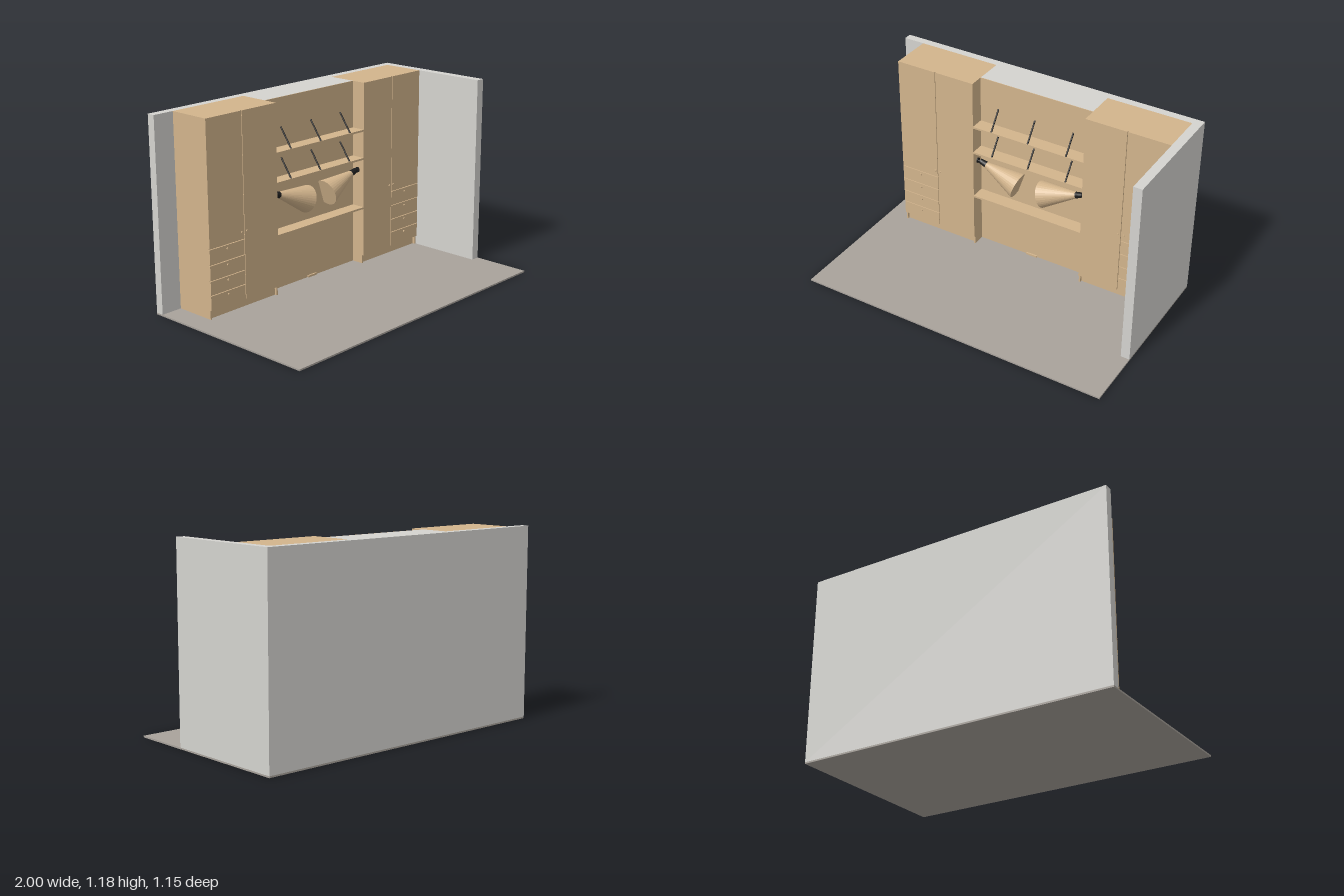
import * as THREE from 'three';

const mat = (name, color) => {
  const m = new THREE.MeshStandardMaterial({ color });
  m.name = name;
  return m;
};

export function createModel() {
  const wood = mat('wood', 0xd2b48c);
  const wall = mat('wall plaster', 0xd4d3cf);
  const floorGrey = mat('floor grey', 0xa8a29b);
  const black = mat('black metal', 0x1c1c1c);
  const root = new THREE.Group();
  root.name = 'wallUnit';

  const add = (name, geometry, material, parent = root) => {
    const mesh = new THREE.Mesh(geometry, material);
    mesh.name = name;
    parent.add(mesh);
    return mesh;
  };
  // Box given by its limits on each axis
  const box = (name, x0, x1, y0, y1, z0, z1, material, parent) => {
    const mesh = add(name, new THREE.BoxGeometry(x1 - x0, y1 - y0, z1 - z0), material, parent);
    mesh.position.set((x0 + x1) / 2, (y0 + y1) / 2, (z0 + z1) / 2);
    return mesh;
  };
  // Straight cylinder between two points; r0 at the start, r1 at the end
  const rod = (name, a, b, r0, r1, sides, material, parent) => {
    const dir = b.clone().sub(a);
    let geometry = new THREE.CylinderGeometry(r1, r0, dir.length(), sides);
    geometry = geometry.toNonIndexed();
    geometry.computeVertexNormals();
    const mesh = add(name, geometry, material, parent);
    mesh.position.copy(a).add(b).multiplyScalar(0.5);
    mesh.quaternion.setFromUnitVectors(new THREE.Vector3(0, 1, 0), dir.normalize());
    return mesh;
  };
  const v = (x, y, z) => new THREE.Vector3(x, y, z);

  const FLOOR = 0.01, TOP = 1.18, BACK = -0.525, FRONT = -0.255;
  const NICHE = -0.345, NL = -0.335, NR = 0.415, MID = 0.04;

  // Room shell
  box('floor', -1, 1, 0, FLOOR, -0.575, 0.575, floorGrey);
  box('backWall', -1, 1, FLOOR, TOP, -0.575, BACK, wall);
  box('sideWall', 0.945, 1, FLOOR, TOP, BACK, 0.21, wall);
  box('nicheWall', NL, NR, FLOOR, TOP, BACK, NICHE - 0.004, wall);
  box('nichePanel', NL, NR, FLOOR, TOP, NICHE - 0.004, NICHE, wood);
  box('floorSocket', 0, 0.075, FLOOR, 0.022, NICHE, NICHE + 0.01, wood);

  // Shelves across the niche
  for (const y of [0.38, 0.7, 0.88]) {
    box('shelf', NL, NR, y - 0.006, y + 0.006, NICHE, FRONT, wood);
  }
  // Slanted rods holding the two upper shelves
  for (const x of [-0.21, MID, 0.297]) {
    for (const y of [0.697, 0.883]) {
      rod('shelfRod', v(x, y, FRONT - 0.005), v(x, y + 0.12, NICHE), 0.005, 0.005, 12, black);
    }
  }

  // Tall cupboards, mirrored about the niche centre
  const G = 0.002, DOOR = 0.01, PLINTH = 0.065, DRAWER_TOP = 0.43;
  for (const side of [-1, 1]) {
    const cupboard = new THREE.Group();
    cupboard.name = side < 0 ? 'rightCupboard' : 'leftCupboard';
    root.add(cupboard);
    // d is the distance from the niche centre
    const part = (name, d0, d1, y0, y1, z0, z1) => {
      const a = MID + side * d0, b = MID + side * d1;
      return box(name, Math.min(a, b), Math.max(a, b), y0, y1, z0, z1, wood, cupboard);
    };
    const knob = (d, y) => rod('knob', v(MID + side * d, y, FRONT),
      v(MID + side * d, y, FRONT + 0.006), 0.007, 0.007, 16, wood, cupboard);
    const inner = 0.375, outer = 0.905, split = 0.64;

    part('carcass', inner, outer, PLINTH, TOP, BACK, FRONT - DOOR);
    part('plinth', inner + 0.01, outer - 0.01, FLOOR, PLINTH, BACK, FRONT - 0.025);
    part('sidePanel', inner, inner + 0.01, FLOOR, PLINTH, BACK, FRONT - DOOR);
    part('sidePanel', outer - 0.01, outer, FLOOR, PLINTH, BACK, FRONT - DOOR);
    part('tallDoor', inner, split - G, PLINTH, TOP, FRONT - DOOR, FRONT);
    part('upperDoor', split + G, outer, DRAWER_TOP + G, TOP, FRONT - DOOR, FRONT);
    knob(split - 0.018, 0.475);
    knob(split + 0.018, 0.475);

    // Drawers
    const levels = [PLINTH, 0.155, 0.242, 0.335, DRAWER_TOP];
    for (let i = 0; i < 4; i++) {
      part('drawerFront', split + G, outer, levels[i] + (i ? G : 0), levels[i + 1] - G,
        FRONT - DOOR, FRONT);
      knob(0.772, levels[i + 1] - 0.024);
    }
  }

  // Pair of cone lamps on the cupboard sides
  for (const side of [-1, 1]) {
    const lamp = new THREE.Group();
    lamp.name = side < 0 ? 'rightLamp' : 'leftLamp';
    root.add(lamp);
    const z = -0.305;
    const p = (d, y) => v(MID + side * d, y, z);
    rod('lampPlate', p(0.375, 0.622), p(0.369, 0.622), 0.017, 0.017, 20, black, lamp);
    rod('lampArm', p(0.37, 0.622), p(0.345, 0.62), 0.006, 0.006, 12, black, lamp);
    rod('lampSocket', p(0.355, 0.622), p(0.312, 0.609), 0.016, 0.02, 20, black, lamp);
    rod('lampShade', p(0.318, 0.611), p(0.085, 0.535), 0.018, 0.084, 32, wood, lamp);
  }
  return root;
}
